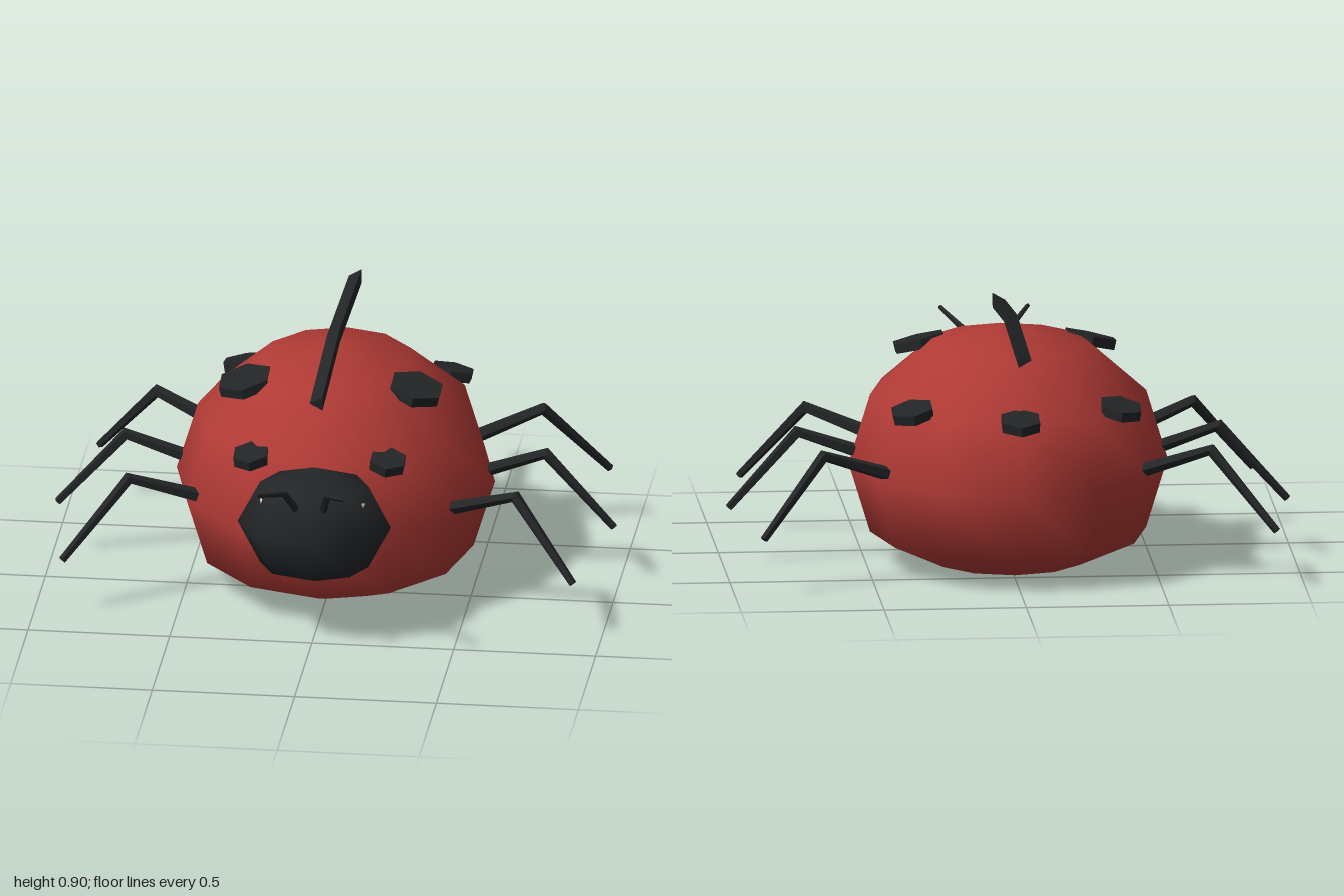
import * as THREE from 'three';
import { mergeVertices } from 'three/addons/utils/BufferGeometryUtils.js';

const red = new THREE.MeshStandardMaterial({ color: 0xb03a35 });
const black = new THREE.MeshStandardMaterial({ color: 0x232527 });
const blackFlat = new THREE.MeshStandardMaterial({ color: 0x232527, flatShading: true });
const white = new THREE.MeshStandardMaterial({ color: 0xffffff });

const V = (x, y, z) => new THREE.Vector3(x, y, z);

function add(parent, name, geometry, material, pos = [0, 0, 0]) {
  const mesh = new THREE.Mesh(geometry, material);
  mesh.name = name;
  mesh.position.set(...pos);
  parent.add(mesh);
  return mesh;
}

// Tapered rod along a polyline: each row of a cylinder moves to one point
function rod(points, radii, sides) {
  const n = points.length - 1;
  const geo = new THREE.CylinderGeometry(1, 1, 1, sides, n);
  const frames = points.map((p, i) => {
    const t = points[Math.min(i + 1, n)].clone().sub(points[Math.max(i - 1, 0)]).normalize();
    const up = V(0, 1, 0).addScaledVector(t, -t.y).normalize();
    return { p, r: radii[i], up, side: t.clone().cross(up) };
  });
  const pos = geo.attributes.position;
  for (let i = 0; i < pos.count; i++) {
    const f = frames[Math.round((0.5 - pos.getY(i)) * n)];
    const v = f.p.clone()
      .addScaledVector(f.up, f.r * pos.getX(i))
      .addScaledVector(f.side, f.r * pos.getZ(i));
    pos.setXYZ(i, v.x, v.y, v.z);
  }
  geo.computeVertexNormals();
  return geo;
}

export function createModel() {
  const model = new THREE.Group();
  model.name = 'ladybug';

  // Shell: low-poly ellipsoid with a flattened belly
  const shell = new THREE.SphereGeometry(1, 12, 6);
  shell.scale(0.56, 0.49, 0.64);
  const sp = shell.attributes.position;
  for (let i = 0; i < sp.count; i++) {
    const y = sp.getY(i) + 0.36;
    if (y < -0.1) sp.setY(i, 0.005 - 0.36);
    else if (y < 0) sp.setY(i, 0.018 - 0.36);
  }
  shell.deleteAttribute('uv');
  shell.deleteAttribute('normal');
  const smoothShell = mergeVertices(shell);
  smoothShell.computeVertexNormals();
  add(model, 'shell', smoothShell, red, [0, 0.36, -0.2]);

  // Head
  const head = new THREE.SphereGeometry(1, 8, 4);
  head.scale(0.27, 0.215, 0.208);
  add(model, 'head', head, black, [0, 0.424, 0.427]);

  // Wing seam: three-sided bar over the back
  const seam = [V(0, 0.852, -0.83), V(0, 0.882, -0.2), V(0, 0.827, 0.3)];
  add(model, 'wingSeam', rod(seam, [0.03, 0.03, 0.03], 3), blackFlat, [-0.002, 0, 0]);

  // Spots: hexagonal discs tipped outward [x, y, z, radius]
  const addSpot = (x, y, z, r) => {
    const spot = add(model, 'spot', new THREE.CylinderGeometry(r, r, 0.036, 6), blackFlat, [x, y, z]);
    const out = V(x, 0, z + 0.2).normalize().multiplyScalar(0.25);
    spot.quaternion.setFromUnitVectors(V(0, 1, 0), out.setY(0.97).normalize());
  };
  addSpot(0, 0.612, -0.755, 0.075);

  for (const s of [1, -1]) {
    addSpot(s * 0.3, 0.757, -0.045, 0.1);
    addSpot(s * 0.24, 0.608, 0.275, 0.068);
    addSpot(s * 0.365, 0.615, -0.565, 0.08);

    // Eyes, barely breaking the head surface
    add(model, 'eye', new THREE.SphereGeometry(0.025, 8, 6), white, [s * 0.163, 0.521, 0.481]);

    // Antennae
    const feeler = [V(s * 0.048, 0.53, 0.56), V(s * 0.075, 0.637, 0.68), V(s * 0.155, 0.69, 0.84)];
    add(model, 'antenna', rod(feeler, [0.014, 0.012, 0.008], 5), blackFlat);

    // Legs: front and rear pairs mirror about the middle pair
    for (const k of [1, 0, -1]) {
      const leg = k
        ? [V(s * 0.42, 0.38, -0.2 + k * 0.32), V(s * 0.68, 0.475, -0.2 + k * 0.41), V(s * 0.9, 0.208, -0.2 + k * 0.54)]
        : [V(s * 0.46, 0.38, -0.2), V(s * 0.74, 0.475, -0.2), V(s * 0.98, 0.208, -0.2)];
      add(model, ['rearLeg', 'middleLeg', 'frontLeg'][k + 1], rod(leg, [0.027, 0.023, 0.014], 5), blackFlat);
    }
  }
  return model;
}
